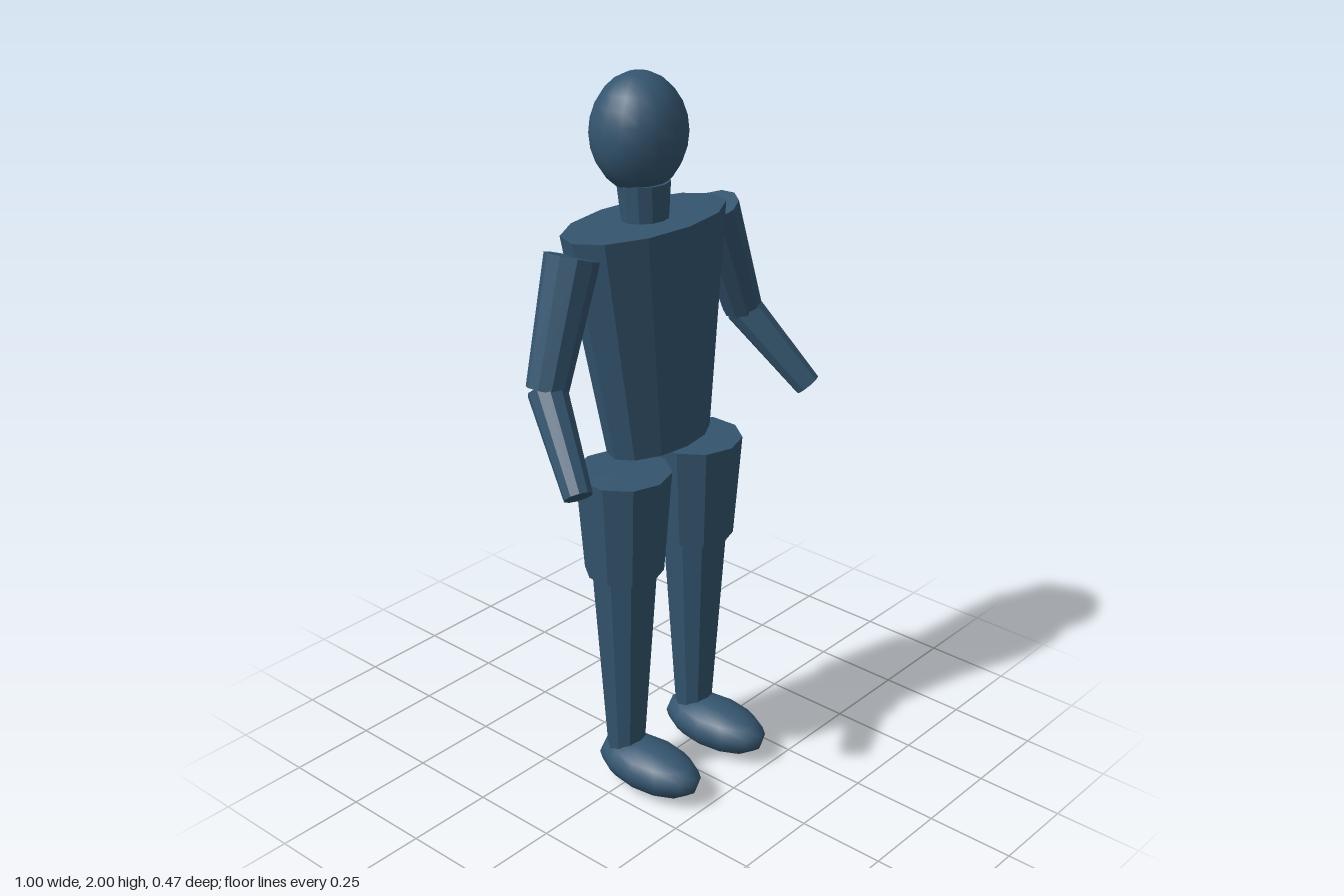
import * as THREE from 'three';

const smooth = new THREE.MeshStandardMaterial({ color: 0x34556f });
const faceted = new THREE.MeshStandardMaterial({ color: 0x34556f, flatShading: true });

// Tapered limb running from the top point to the bottom point
function limb(name, top, bottom, rTop, rBottom, sides = 10) {
  const a = new THREE.Vector3(...top);
  const b = new THREE.Vector3(...bottom);
  const mesh = new THREE.Mesh(
    new THREE.CylinderGeometry(rTop, rBottom, a.distanceTo(b), sides), faceted);
  mesh.name = name;
  mesh.position.copy(a).add(b).multiplyScalar(0.5);
  mesh.quaternion.setFromUnitVectors(new THREE.Vector3(0, 1, 0), a.sub(b).normalize());
  return mesh;
}

function ellipsoid(name, center, radii, w, h) {
  const geo = new THREE.SphereGeometry(1, w, h);
  geo.scale(...radii);
  const mesh = new THREE.Mesh(geo, smooth);
  mesh.name = name;
  mesh.position.set(...center);
  return mesh;
}

export function createModel() {
  const model = new THREE.Group();
  model.name = 'mannequin';

  // Head and neck
  model.add(ellipsoid('head', [0, 1.845, -0.096], [0.13, 0.155, 0.126], 16, 12));
  model.add(limb('neck', [0, 1.72, -0.082], [0, 1.58, -0.076], 0.072, 0.06, 12));

  // Torso: flattened taper, leaning back
  const torsoGeo = new THREE.CylinderGeometry(0.27, 0.175, 0.612, 12);
  torsoGeo.scale(1, 1, 0.574);
  const torso = new THREE.Mesh(torsoGeo, faceted);
  torso.name = 'torso';
  torso.position.set(0, 1.316, -0.054);
  torso.rotation.x = -0.077;
  model.add(torso);

  for (const [side, s] of [['left', 1], ['right', -1]]) {
    // Arm, bent forward at the elbow
    const arm = new THREE.Group();
    arm.name = side + 'Arm';
    const elbow = [s * 0.385, 1.27, -0.062];
    arm.add(limb('upperArm', [s * 0.27, 1.588, -0.077], elbow, 0.072, 0.055));
    arm.add(limb('forearm', elbow, [s * 0.463, 1.058, 0.115], 0.052, 0.038));

    // Leg with thigh, shin and foot
    const leg = new THREE.Group();
    leg.name = side + 'Leg';
    const x = s * 0.146;
    leg.add(limb('thigh', [x, 0.97, -0.027], [x, 0.675, -0.027], 0.13, 0.108));
    leg.add(limb('shin', [x, 0.69, -0.027], [x, 0.09, -0.027], 0.09, 0.051));
    leg.add(ellipsoid('foot', [s * 0.143, 0.073, 0.06], [0.091, 0.068, 0.173], 12, 10));
    model.add(arm, leg);
  }
  return model;
}
